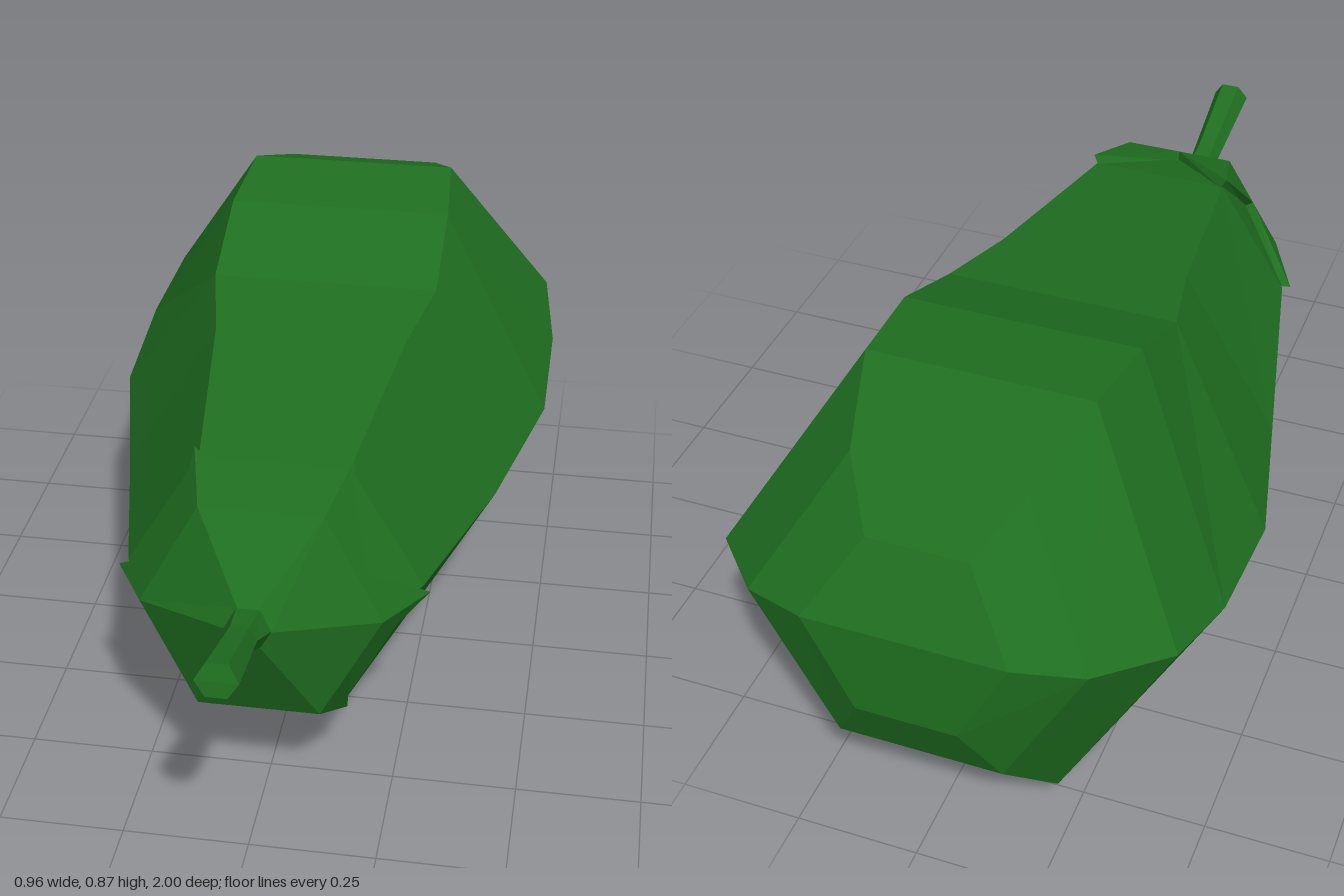
import * as THREE from 'three';

const green = new THREE.MeshStandardMaterial({ color: 0x1f6f20, flatShading: true, side: THREE.DoubleSide });

// Six-sided ring, counterclockwise from the left side; each pair [x, y, z] is mirrored
function hexRing(top, mid, bottom) {
  const flip = ([x, y, z]) => [-x, y, z];
  return [mid, top, flip(top), flip(mid), flip(bottom), bottom];
}

function meshFrom(name, triangles) {
  const geometry = new THREE.BufferGeometry();
  geometry.setAttribute('position', new THREE.Float32BufferAttribute(triangles.flat(2), 3));
  geometry.computeVertexNormals();
  const mesh = new THREE.Mesh(geometry, green);
  mesh.name = name;
  return mesh;
}

// Skin over rings running from front to back, closed at both ends
function loft(name, rings) {
  const tris = [];
  for (let i = 0; i < rings.length - 1; i++) {
    for (let j = 0; j < 6; j++) {
      const k = (j + 1) % 6;
      const a = rings[i][j], b = rings[i][k], c = rings[i + 1][k], d = rings[i + 1][j];
      tris.push([a, d, c], [a, c, b]);
    }
  }
  const first = rings[0], last = rings[rings.length - 1];
  for (let j = 1; j < 5; j++) {
    tris.push([first[0], first[j], first[j + 1]], [last[0], last[j + 1], last[j]]);
  }
  return meshFrom(name, tris);
}

// Leafy cap: a short cone ending in six pointed leaves with a thin edge
function createCalyx() {
  const base = hexRing([0.02, 0.53, 0.71], [0.045, 0.49, 0.72], [0.025, 0.455, 0.725]);
  const ridge = hexRing([0.12, 0.657, 0.575], [0.235, 0.447, 0.595], [0.12, 0.24, 0.625]);
  const tip = hexRing([0.155, 0.7, 0.43], [0.31, 0.432, 0.455], [0.155, 0.165, 0.495]);
  const notch = ridge.map((p, j) => p.map((v, n) => (v + ridge[(j + 1) % 6][n]) / 2));
  const inner = ([x, y, z]) => {
    const r = Math.hypot(x, y - 0.44), s = (r - 0.022) / r;
    return [x * s, 0.44 + (y - 0.44) * s, z - 0.005];
  };
  const tris = [];
  for (let j = 0; j < 6; j++) {
    const k = (j + 1) % 6, before = notch[(j + 5) % 6];
    tris.push([base[j], ridge[j], ridge[k]], [base[j], ridge[k], base[k]]);
    tris.push([ridge[j], tip[j], notch[j]], [ridge[j], before, tip[j]]);
    for (const [p, q] of [[tip[j], notch[j]], [before, tip[j]]]) {
      tris.push([p, inner(p), inner(q)], [p, inner(q), q]);
    }
  }
  return meshFrom('calyx', tris);
}

export function createModel() {
  const model = new THREE.Group();
  model.name = 'vegetable';

  // Fruit body: narrow neck to a swollen, rounded end
  model.add(loft('fruitBody', [
    hexRing([0.11, 0.64, 0.565], [0.22, 0.445, 0.585], [0.11, 0.25, 0.615]),
    hexRing([0.147, 0.68, 0.43], [0.295, 0.435, 0.44], [0.15, 0.178, 0.49]),
    hexRing([0.2, 0.737, 0], [0.4, 0.39, 0], [0.2, 0.043, 0]),
    hexRing([0.24, 0.765, -0.19], [0.48, 0.418, -0.335], [0.24, 0.003, -0.34]),
    hexRing([0.24, 0.85, -0.4], [0.48, 0.458, -0.61], [0.24, 0.025, -0.63]),
    hexRing([0.225, 0.875, -0.605], [0.45, 0.51, -0.805], [0.225, 0.1, -0.825]),
    hexRing([0.17, 0.805, -0.8], [0.33, 0.54, -0.94], [0.165, 0.24, -0.95]),
    hexRing([0.1, 0.71, -0.905], [0.2, 0.56, -0.99], [0.1, 0.37, -1]),
  ]));

  model.add(createCalyx());

  // Stem: flared root, thin shaft, slightly wider cut end
  model.add(loft('stem', [
    hexRing([0.02, 0.607, 0.985], [0.04, 0.575, 0.995], [0.02, 0.545, 1]),
    hexRing([0.017, 0.547, 0.79], [0.032, 0.52, 0.79], [0.017, 0.492, 0.79]),
    hexRing([0.022, 0.53, 0.71], [0.045, 0.49, 0.715], [0.025, 0.455, 0.72]),
  ]));
  return model;
}
